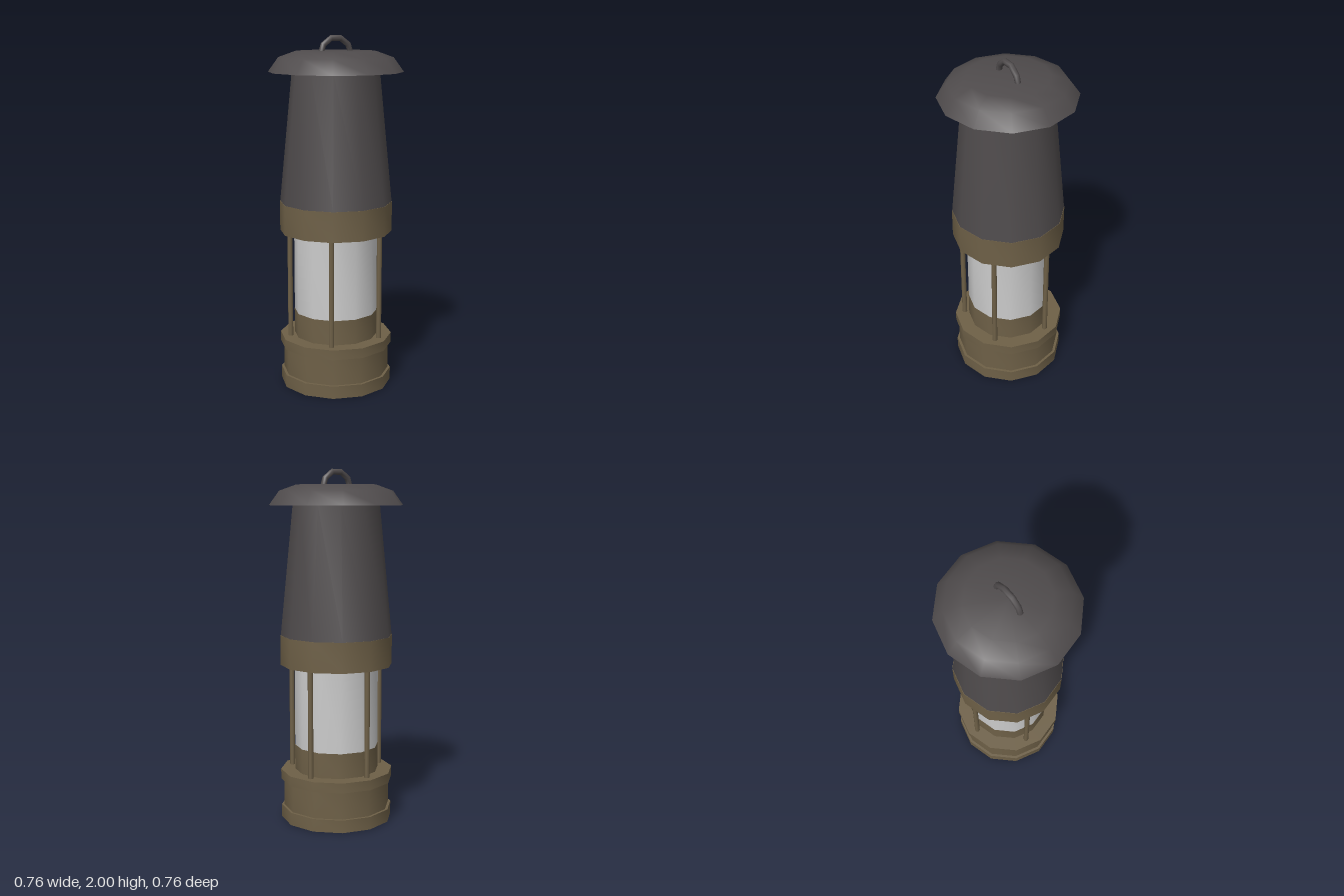
import * as THREE from 'three';
import { toCreasedNormals } from 'three/addons/utils/BufferGeometryUtils.js';

const SIDES = 12;
const brass = new THREE.MeshStandardMaterial({ color: 0x6e6047 });
const iron = new THREE.MeshStandardMaterial({ color: 0x4f4b4c });
const clear = new THREE.MeshStandardMaterial({ color: 0xcccccc });

export function createModel() {
  const lamp = new THREE.Group();
  lamp.name = 'lantern';

  const add = (name, geometry, material) => {
    const mesh = new THREE.Mesh(geometry, material);
    mesh.name = name;
    lamp.add(mesh);
    return mesh;
  };

  // Twelve-sided turned part from [radius, y] points, bottom to top
  const turned = (name, points, material) => {
    const profile = points.map(([r, y]) => new THREE.Vector2(r, y));
    add(name, toCreasedNormals(new THREE.LatheGeometry(profile, SIDES), 0.8), material);
  };

  // Stepped base with foot, drum, rim and the collar that holds the glass
  turned('base', [
    [0, 0], [0.32, 0], [0.32, 0.073], [0.305, 0.073], [0.305, 0.23],
    [0.323, 0.23], [0.323, 0.287], [0.241, 0.287], [0.241, 0.43], [0, 0.43],
  ], brass);

  turned('glass', [[0.24, 0.43], [0.24, 0.9]], clear);
  turned('upperBand', [[0, 0.9], [0.32, 0.9], [0.32, 1.07], [0, 1.07]], brass);
  turned('chimney', [[0.318, 1.07], [0.246, 1.8]], iron);
  turned('cap', [[0, 1.8], [0.378, 1.8], [0.32, 1.88], [0.225, 1.914], [0, 1.915]], iron);

  // Five guard rods around the glass
  for (let i = 0; i < 5; i++) {
    const a = THREE.MathUtils.degToRad(50.5 + i * 72);
    const rod = add('guardRod' + (i + 1), new THREE.CylinderGeometry(0.015, 0.015, 0.63, 8), brass);
    rod.position.set(0.268 * Math.cos(a), 0.595, 0.268 * Math.sin(a));
  }

  // Carrying loop
  const loop = add('loop', new THREE.TorusGeometry(0.095, 0.017, 8, 5, Math.PI), iron);
  loop.position.y = 1.893;

  return lamp;
}
